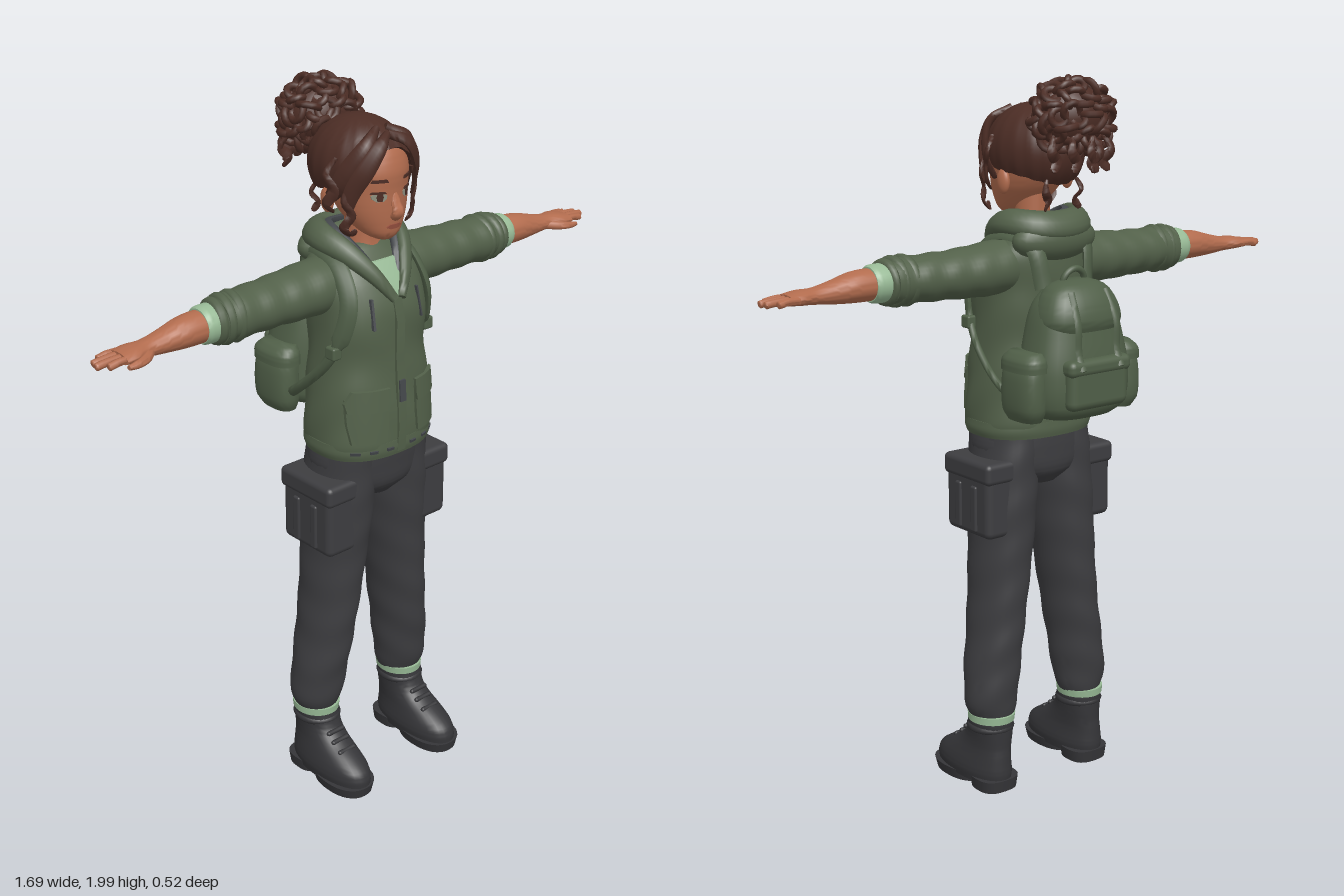
import * as THREE from 'three';
import { mergeVertices, toCreasedNormals } from 'three/addons/utils/BufferGeometryUtils.js';
import { RoundedBoxGeometry } from 'three/addons/geometries/RoundedBoxGeometry.js';

const V = (x, y, z) => new THREE.Vector3(x, y, z);
const { sin, cos, abs, sign, PI, pow, min, max } = Math;

// closed skin over a stack of equal-sized rings
function skin(rings, crease = 0.9) {
  const n = rings[0].length, pos = [], idx = [];
  rings.forEach(r => r.forEach(p => pos.push(p.x, p.y, p.z)));
  for (let k = 0; k < rings.length - 1; k++) for (let i = 0; i < n; i++) {
    const a = k * n + i, b = k * n + (i + 1) % n;
    idx.push(a, a + n, b, b, a + n, b + n);
  }
  [0, rings.length - 1].forEach((k, top) => {
    const c = V(0, 0, 0), o = k * n, m = pos.length / 3;
    rings[k].forEach(p => c.addScaledVector(p, 1 / n));
    pos.push(c.x, c.y, c.z);
    for (let i = 0; i < n; i++) {
      const a = o + i, b = o + (i + 1) % n;
      idx.push(m, top ? b : a, top ? a : b);
    }
  });
  const g = new THREE.BufferGeometry();
  g.setAttribute('position', new THREE.Float32BufferAttribute(pos, 3));
  g.setIndex(idx);
  return toCreasedNormals(g, crease);
}

// smooth interpolation of profile rows [y, cx, cz, rx, rz]
function at(rows, y) {
  let i = 0;
  while (i < rows.length - 2 && y > rows[i + 1][0]) i++;
  const a = rows[i], b = rows[i + 1], p = rows[max(i - 1, 0)], q = rows[min(i + 2, rows.length - 1)];
  const h = b[0] - a[0], t = min(max((y - a[0]) / h, 0), 1), s = t * t * (3 - 2 * t);
  return a.map((v, j) => {
    const ma = (b[j] - p[j]) / (b[0] - p[0]), mb = (q[j] - v) / (q[0] - a[0]);
    return v + (b[j] - v) * s + h * (ma * t * (1 - t) * (1 - t) - mb * t * t * (1 - t));
  });
}

// loft along y; pw squares the section, fold(y, a) adds wrinkles
function loft(rows, { n = 32, steps = 28, pw = 2, fold = () => 0 } = {}) {
  const rings = [], y0 = rows[0][0], y1 = rows[rows.length - 1][0];
  for (let k = 0; k <= steps; k++) {
    const y = y0 + (y1 - y0) * k / steps, [, cx, cz, rx, rz] = at(rows, y);
    rings.push(Array.from({ length: n }, (_, i) => {
      const a = i / n * 2 * PI, c = cos(a), s = sin(a), f = 1 + fold(y, a);
      return V(cx + sign(c) * pow(abs(c), 2 / pw) * rx * f, y, cz + sign(s) * pow(abs(s), 2 / pw) * rz * f);
    }));
  }
  return skin(rings);
}
const sideways = (rows, o) => loft(rows.map(([x, y, z, ry, rz]) => [x, -y, z, ry, rz]), o).rotateZ(-PI / 2);

// sweep an oval (w across, t deep) along a curve, facing away from a centre
function sweep(pts, size, centre = V(0, 1.4, 0.05), steps = 24, n = 8) {
  const curve = new THREE.CatmullRomCurve3(pts.map(p => V(...p))), rings = [];
  for (let k = 0; k <= steps; k++) {
    const u = k / steps, P = curve.getPoint(u), T = curve.getTangent(u), [w, t] = size(u);
    const N = P.clone().sub(centre);
    N.addScaledVector(T, -N.dot(T)).normalize();
    const B = T.clone().cross(N);
    rings.push(Array.from({ length: n }, (_, i) => {
      const a = i / n * 2 * PI;
      return P.clone().addScaledVector(B, cos(a) * w).addScaledVector(N, sin(a) * t);
    }));
  }
  return skin(rings, 1.2);
}

// plate laid on the front of a lofted body; rows are [y, x0, x1]
function drape(rows, body, off, pw = 2, depth = 0.009, n = 8) {
  return skin(rows.map(([y, x0, x1]) => {
    const [, cx, cz, rx, rz] = at(body, y), ring = [];
    for (let i = 0; i <= n; i++) {
      const x = x1 + (x0 - x1) * i / n;
      ring.push(V(x, y, cz + rz * pow(max(0, 1 - pow(abs((x - cx) / rx), pw)), 1 / pw) + off));
    }
    return ring.concat(ring.map(p => V(p.x, p.y, p.z - depth)).reverse());
  }), 0.5);
}
const ball = (x, y, z, rx, ry, rz) => new THREE.SphereGeometry(1, 24, 16).scale(rx, ry, rz).translate(x, y, z);
const box = (x, y, z, w, h, d, r = 0.012) => new RoundedBoxGeometry(w, h, d, 3, r).translate(x, y, z);

export function createModel() {
  const model = new THREE.Group();
  const M = {};
  Object.entries({ skin: 0xb26c4e, hair: 0x4c2d25, jacket: 0x53614a, pack: 0x505f48, trousers: 0x3d3d40,
    boots: 0x353538, shirt: 0x98ba96, lining: 0x45484c, eyes: 0x8f9180, lips: 0x96503f }).forEach(([name, color]) => {
    M[name] = new THREE.MeshStandardMaterial({ color });
    M[name].name = name;
  });
  const add = (name, geo, mat) => {
    const m = new THREE.Mesh(geo, M[mat]);
    m.name = name;
    model.add(m);
  };
  // adds the part on the left (+x) and its mirror on the right
  const pair = (name, geo, mat) => {
    add(name + 'Left', geo, mat);
    const g = mergeVertices(geo.clone()).scale(-1, 1, 1), ix = g.index.array;
    for (let i = 0; i < ix.length; i += 3) [ix[i], ix[i + 1]] = [ix[i + 1], ix[i]];
    add(name + 'Right', g, mat);
  };

  // jacket body
  const torso = [[1.025, 0, .065, .17, .13], [1.06, 0, .065, .178, .138], [1.2, 0, .063, .17, .133], [1.3, 0, .06, .16, .128],
    [1.42, 0, .057, .162, .13], [1.5, 0, .04, .163, .115], [1.55, 0, .025, .135, .095], [1.59, 0, .015, .08, .07]];
  add('jacket', loft(torso, { n: 48, steps: 40, pw: 2.4, fold: (y, a) => .012 * sin(y * 40 + 3 * sin(a * 2)) }), 'jacket');
  const onJacket = (name, rows, off, mat, two) => (two ? pair : add)(name, drape(rows, torso, off, 2.4), mat);
  onJacket('shirtFront', [[1.465, -.004, .004], [1.5, -.03, .03], [1.55, -.055, .055]], .008, 'shirt');
  onJacket('zipFlap', [1.03, 1.1, 1.2, 1.3, 1.4, 1.46].map(y => [y, -.014, .014]), .007, 'jacket');
  onJacket('buckle', [[1.175, -.01, .01], [1.235, -.01, .01]], .012, 'lining');
  onJacket('pocket', [[1.075, .055, .145], [1.13, .05, .152], [1.2, .05, .152]], .01, 'jacket', true);
  onJacket('pocketFlap', [[1.165, .05, .152], [1.19, .045, .155], [1.225, .045, .14]], .016, 'jacket', true);
  onJacket('drawstring', [[1.39, .08, .086], [1.47, .076, .082]], .01, 'lining', true);
  for (const x of [.03, .08, .125]) onJacket('hemStitch', [[1.042, x, x + .02], [1.05, x, x + .02]], .008, 'lining', true);
  add('hem', loft([[1.022, 0, .065, .174, .135], [1.04, 0, .065, .18, .139], [1.065, 0, .065, .178, .138]], { n: 48, steps: 6, pw: 2.4 }), 'jacket');

  // hood lying around the neck
  const half = [[.012, 1.46, .185], [.055, 1.525, .15], [.1, 1.585, .085], [.115, 1.61, .01], [.075, 1.605, -.06]];
  const rim = [...half, [0, 1.6, -.078], ...half.slice().reverse().map(([x, y, z]) => [-x, y, z])];
  add('hoodRim', sweep(rim, u => { const s = sin(u * PI); return [.012 + .03 * s, .01 + .016 * s]; }, V(0, 1.5, .04), 48, 14), 'jacket');
  add('hoodLining', sweep(rim.map(([x, y, z]) => [x * .82, y + .004, .03 + (z - .03) * .82]),
    u => [.008 + .028 * sin(u * PI), .014], V(0, 1.5, .04), 48, 10), 'lining');
  add('hoodBack', ball(0, 1.56, -.05, .135, .06, .058), 'jacket');

  // sleeves with bunched folds, shirt cuffs, forearms
  pair('sleeve', sideways([[.09, 1.49, .03, .075, .08], [.2, 1.484, .027, .07, .08], [.3, 1.482, .028, .064, .074], [.4, 1.482, .033, .062, .069], [.48, 1.482, .036, .06, .064]],
    { steps: 60, fold: (x, a) => .035 * sin(x * 75 + 2 * sin(a) + cos(a * 2)) * min(1, x * 2) }), 'jacket');
  for (const [x, r] of [[.43, .062], [.462, .061], [.485, .055]])
    pair('sleeveRoll', new THREE.TorusGeometry(r - .008, .015, 10, 28).rotateY(PI / 2 + .12).translate(x, 1.482, .036), 'jacket');
  pair('shirtCuff', sideways([[.46, 1.482, .036, .05, .052], [.525, 1.482, .037, .05, .052], [.535, 1.482, .037, .045, .047]], { steps: 10 }), 'shirt');
  pair('forearm', sideways([[.5, 1.482, .037, .042, .046], [.58, 1.48, .038, .04, .044], [.65, 1.473, .038, .029, .034], [.7, 1.47, .039, .021, .031],
    [.74, 1.47, .041, .019, .042], [.775, 1.468, .041, .014, .042]]), 'skin');
  [[.067, .822], [.047, .845], [.027, .84], [.008, .815]].forEach(([z, tip]) => pair('finger',
    sweep([[.755, 1.469, z], [.79, 1.469, z], [tip - .012, 1.466, z], [tip, 1.464, z]], u => [u > .93 ? .006 : .0105, u > .93 ? .005 : .01], V(.8, 1, z), 14), 'skin'));
  pair('thumb', sweep([[.69, 1.466, .05], [.72, 1.463, .078], [.755, 1.46, .09], [.78, 1.459, .092]], u => [.015 - .008 * u * u, .013 - .007 * u * u], V(.7, 1, .05), 14), 'skin');

  // trousers
  add('trouserSeat', loft([[.88, 0, .057, .06, .08], [.92, 0, .058, .14, .112], [.98, 0, .06, .174, .12], [1.05, 0, .064, .168, .122]], { pw: 2.3 }), 'trousers');
  pair('trouserLeg', loft([[.215, .16, .03, .06, .062], [.25, .16, .032, .073, .072], [.32, .156, .036, .078, .08], [.4, .145, .04, .076, .088], [.55, .126, .046, .077, .097],
    [.7, .111, .05, .084, .103], [.85, .1, .055, .089, .112], [.95, .093, .058, .087, .114], [1.03, .085, .062, .085, .115]],
    { n: 36, steps: 60, fold: (y, a) => (.012 + .025 * max(0, 1 - y * 1.6)) * sin(y * 48 + 2.5 * sin(a + 1)) }), 'trousers');
  pair('cargoPocket', box(.165, .85, .06, .105, .2, .195, .02).rotateZ(0), 'trousers');
  pair('cargoFlap', box(.165, .935, .06, .115, .06, .207, .015), 'trousers');
  for (const z of [.025, .095]) pair('cargoPleat', box(.215, .83, z, .018, .13, .025, .006), 'trousers');

  // boots and socks
  const boot = [[.02, .166, .106, .062, .145], [.05, .166, .104, .067, .146], [.075, .166, .098, .064, .138], [.1, .165, .08, .059, .118],
    [.125, .163, .058, .056, .093], [.155, .162, .04, .056, .075], [.2, .162, .032, .06, .066], [.215, .162, .032, .058, .064]];
  pair('boot', loft(boot, { pw: 2.2, steps: 30 }), 'boots');
  pair('soleFront', loft([[0, .167, .155, .062, .095], [.03, .167, .158, .069, .098]], { pw: 2.3, steps: 2 }), 'boots');
  pair('heel', loft([[0, .165, .015, .058, .056], [.035, .165, .015, .063, .06]], { pw: 2.8, steps: 2 }), 'boots');
  pair('bootCollar', new THREE.TorusGeometry(.055, .011, 8, 28).rotateX(PI / 2).scale(1, 1, 1.08).translate(.162, .182, .034), 'boots');
  for (const [y, z] of [[.112, .165], [.132, .137], [.152, .117]])
    pair('lace', new THREE.CapsuleGeometry(.007, .05, 4, 8).rotateZ(PI / 2).translate(.163, y, z), 'boots');
  pair('sock', loft([[.203, .162, .03, .063, .07], [.224, .161, .03, .065, .072]], { steps: 2 }), 'shirt');

  // neck, head and face
  add('neck', loft([[1.5, 0, .06, .06, .075], [1.57, 0, .045, .05, .05], [1.7, 0, .045, .045, .05]], { steps: 12 }), 'skin');
  const head = [[1.612, 0, .12, .025, .028], [1.625, 0, .112, .048, .048], [1.65, 0, .095, .07, .07], [1.69, 0, .075, .091, .093], [1.74, 0, .06, .102, .109],
    [1.8, 0, .048, .106, .122], [1.86, 0, .042, .085, .1], [1.9, 0, .04, .035, .04]];
  add('head', loft(head, { n: 40, steps: 36 }), 'skin');
  add('nose', sweep([[0, 1.742, .162], [0, 1.712, .172], [0, 1.69, .18], [0, 1.677, .165]], u => [.007 + .011 * sin(u * PI * .75), .006 + .008 * u], V(0, 1.7, 0), 14, 10), 'skin');
  pair('ear', ball(.108, 1.712, .03, .014, .034, .022).rotateY(0), 'skin');
  const onFace = (rows, off = .002) => drape(rows, head, off, 2, .008);
  pair('eye', onFace([[1.722, .036, .052], [1.73, .027, .062], [1.738, .027, .064], [1.745, .038, .055]]), 'eyes');
  pair('iris', onFace([[1.723, .04, .05], [1.734, .037, .053], [1.745, .04, .05]], .004), 'hair');
  pair('lashes', onFace([[1.743, .03, .066], [1.748, .034, .062]], .005), 'hair');
  pair('eyebrow', onFace([[1.772, .026, .066], [1.78, .03, .062]], .004), 'hair');
  add('mouth', onFace([[1.645, -.014, .014], [1.651, -.025, .025], [1.657, -.015, .015]], .004), 'lips');

  // hair cap, pulled back from the hairline
  const cap = [], edge = f => (60 + 55 * THREE.MathUtils.smoothstep(f, .1, PI / 2) + 18 * THREE.MathUtils.smoothstep(f, PI / 2, PI)) * PI / 180;
  for (let k = 0; k <= 20; k++) cap.push(Array.from({ length: 72 }, (_, i) => {
    const a = i / 72 * 2 * PI, f = abs(Math.atan2(cos(a), sin(a)));
    const v = k ? 1 - (k - 1) / 19.2 : 1, th = v * edge(f), s = (k ? 1 : .86) * (1 + .014 * sin(a * 18 + v * 3) * v);
    return V(cos(a) * sin(th) * .122 * s, 1.79 + cos(th) * .125 * s, .03 + sin(a) * sin(th) * .147 * s);
  }));
  add('hairCap', skin(cap, 1.2), 'hair');

  // loose locks around the face and nape
  const taper = r => u => [r * (.45 + .75 * sin(u * PI * .9)) * (u > .97 ? .3 : 1), r * .6 * (1 - .6 * u)];
  const headMid = V(0, 1.78, .03);
  [[[[.0, 1.885, .135], [.045, 1.865, .16], [.085, 1.81, .152], [.108, 1.75, .125], [.112, 1.7, .11]], .02],
    [[[.015, 1.895, .11], [.07, 1.865, .135], [.105, 1.81, .115], [.12, 1.76, .085], [.118, 1.72, .05]], .022],
    [[[.1, 1.78, .12], [.122, 1.73, .11], [.105, 1.69, .12], [.118, 1.655, .105], [.098, 1.635, .11], [.09, 1.65, .12]], .011],
    [[[.112, 1.83, .07], [.138, 1.79, .06], [.128, 1.75, .08], [.138, 1.71, .06], [.12, 1.69, .07]], .012],
    [[[.05, 1.72, -.08], [.06, 1.69, -.09], [.045, 1.665, -.08], [.06, 1.64, -.085]], .01]
  ].forEach(([p, r]) => pair('hairLock', sweep(p, taper(r), headMid, 28), 'hair'));

  // curly bun: a core covered in ringlets
  add('bunCore', ball(0, 1.885, -.12, .1, .088, .08), 'hair');
  let seed = 7;
  const rnd = () => (seed = (seed * 16807) % 2147483647) / 2147483647;
  for (let i = 0; i < 84; i++) {
    const y = 1 - 2 * (i + .5) / 84, r = Math.sqrt(1 - y * y), a = i * 2.39996;
    const g = new THREE.TorusGeometry(.016 + .012 * rnd(), .0095, 7, 14);
    g.rotateX(rnd() * PI).rotateY(rnd() * PI);
    add('bunCurl', g.translate(cos(a) * r * .102, 1.885 + y * .085, -.12 + sin(a) * r * .08), 'hair');
  }
  for (const [x, z] of [[.05, -.19], [.0, -.205], [.085, -.15]])
    pair('hangingCurl', sweep([[x, 1.84, z], [x + .015, 1.8, z - .015], [x - .008, 1.775, z - .005], [x + .01, 1.75, z - .012]], taper(.013), headMid), 'hair');

  // backpack
  add('packBody', loft([[1.1, 0, -.13, .11, .075], [1.125, 0, -.133, .145, .096], [1.22, 0, -.135, .155, .1], [1.32, 0, -.13, .138, .092], [1.4, 0, -.128, .115, .075], [1.45, 0, -.125, .075, .045]], { pw: 2.7 }), 'pack');
  add('packLid', loft([[1.335, 0, -.145, .118, .078], [1.36, 0, -.148, .126, .083], [1.41, 0, -.145, .112, .073], [1.45, 0, -.138, .08, .05], [1.463, 0, -.135, .04, .025]], { pw: 2.5, steps: 16 }), 'pack');
  add('packPocket', box(0, 1.195, -.222, .2, .13, .055, .024), 'pack');
  add('packPocketFlap', box(0, 1.245, -.226, .21, .045, .056, .018), 'pack');
  pair('sidePouch', loft([[1.1, .155, -.12, .03, .055], [1.13, .16, -.122, .04, .07], [1.22, .16, -.122, .04, .07], [1.27, .152, -.12, .032, .06]], { pw: 2.6, steps: 14 }), 'pack');
  pair('sidePouchFlap', loft([[1.235, .158, -.122, .044, .074], [1.265, .157, -.122, .042, .072], [1.285, .15, -.12, .03, .055]], { pw: 2.6, steps: 8 }), 'pack');
  pair('lidStrap', sweep([[.06, 1.44, -.195], [.065, 1.36, -.231], [.065, 1.28, -.236], [.065, 1.24, -.256]], () => [.011, .005], V(.06, 1.3, 0)), 'pack');
  add('packHandle', new THREE.TorusGeometry(.036, .009, 8, 20, PI).rotateX(-.2).translate(0, 1.455, -.13), 'pack');
  pair('shoulderStrap', sweep([[.075, 1.44, -.1], [.09, 1.545, -.075], [.11, 1.575, .0], [.122, 1.55, .085], [.134, 1.47, .142], [.15, 1.38, .135], [.167, 1.28, .08], [.172, 1.18, -.03], [.15, 1.14, -.09]],
    u => [u < .65 ? .024 : .015, .01], V(0, 1.4, .03), 48), 'pack');
  pair('strapBuckle', box(.163, 1.33, .115, .03, .035, .035, .006), 'pack');
  return model;
}
